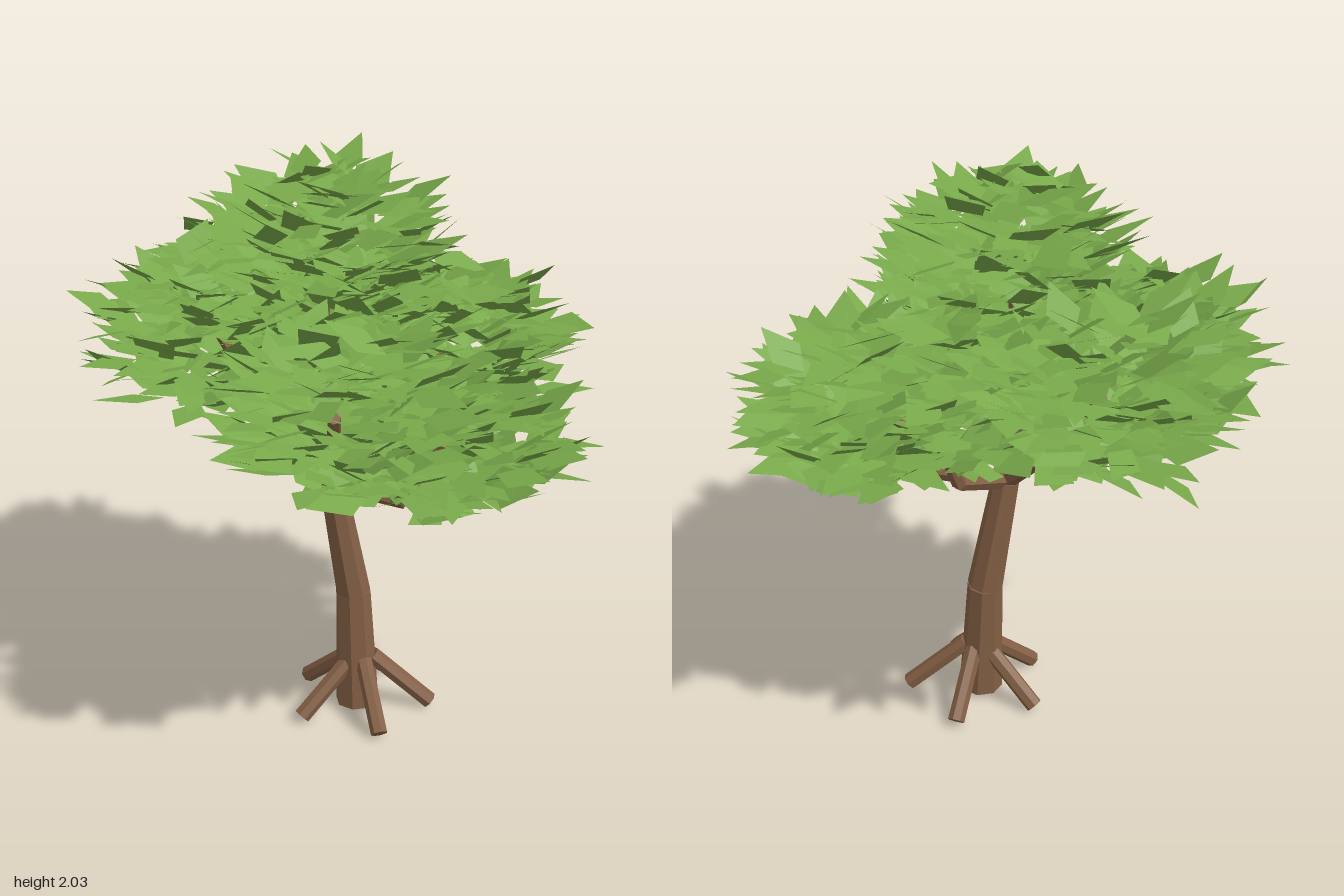
import * as THREE from 'three';

const bark = new THREE.MeshStandardMaterial({ color: 0x835f44, flatShading: true });
const green = new THREE.MeshStandardMaterial({ color: 0x78a84a, flatShading: true, side: THREE.DoubleSide });

// Small seeded generator, so the foliage is always the same
function seeded(seed) {
  let s = seed;
  return () => {
    s = (s * 16807) % 2147483647;
    return s / 2147483647;
  };
}

// Tapered faceted cylinder between two points
function limb(name, a, b, r0, r1, sides) {
  const from = new THREE.Vector3(...a), to = new THREE.Vector3(...b);
  const dir = to.clone().sub(from);
  const mesh = new THREE.Mesh(new THREE.CylinderGeometry(r1, r0, dir.length(), sides), bark);
  mesh.name = name;
  mesh.position.copy(from).add(to).multiplyScalar(0.5);
  mesh.quaternion.setFromUnitVectors(new THREE.Vector3(0, 1, 0), dir.normalize());
  return mesh;
}

// Chain of limbs through a list of points, thinning along the way
function limbChain(name, points, radii, sides) {
  const group = new THREE.Group();
  group.name = name;
  for (let i = 0; i < points.length - 1; i++) {
    group.add(limb(name + 'Segment', points[i], points[i + 1], radii[i], radii[i + 1], sides));
  }
  return group;
}

// One flat pointed leaf: stem, two shoulders and tip
function addLeaf(out, base, heading, lift, roll, length, width) {
  const dir = new THREE.Vector3(
    Math.cos(heading) * Math.cos(lift), Math.sin(lift), Math.sin(heading) * Math.cos(lift));
  const side = new THREE.Vector3(-Math.sin(heading), 0, Math.cos(heading)).applyAxisAngle(dir, roll);
  const at = (l, w) => base.clone().addScaledVector(dir, l * length).addScaledVector(side, w * width);
  const stem = at(0, 0), left = at(0.42, -0.5), right = at(0.42, 0.5), tip = at(1, 0);
  for (const p of [stem, right, left, left, right, tip]) out.push(p.x, p.y, p.z);
}

// Ellipsoid clump of leaves that fan outwards and slightly upwards
function addClump(out, [cx, cy, cz, rx, ry, count], rand) {
  for (let i = 0; i < count; i++) {
    const v = 1 - 2 * (i + 0.5) / count;
    const around = i * 2.39996 + (rand() - 0.5) * 0.5;
    const ring = Math.sqrt(1 - v * v);
    const depth = 0.3 + 0.7 * Math.sqrt(rand());
    const base = new THREE.Vector3(
      cx + Math.cos(around) * ring * rx * depth,
      cy + v * ry * depth,
      cz + Math.sin(around) * ring * rx * depth);
    // Leaves near the poles turn freely and start off centre, which closes the crown
    const heading = around + (rand() - 0.5) * (1 + 4 * (1 - ring));
    const length = 0.16 + rand() * 0.08;
    const back = length * 0.7 * (1 - ring);
    base.x -= Math.cos(heading) * back;
    base.z -= Math.sin(heading) * back;
    addLeaf(out, base, heading, 0.3 + (rand() - 0.5) * 0.7,
      (rand() - 0.5) * 0.9, length, 0.1 + rand() * 0.04);
  }
}

function createFoliage() {
  const rand = seeded(4217);
  const out = [];
  // centre x, y, z, horizontal radius, vertical radius, leaf count
  const clumps = [
    [-0.02, 1.67, -0.04, 0.28, 0.27, 240],
    [0, 1.4, -0.1, 0.3, 0.24, 150],
    [0.02, 1.36, -0.38, 0.26, 0.25, 130],
    [-0.43, 1.37, -0.01, 0.29, 0.26, 240],
    [-0.37, 1.42, -0.42, 0.29, 0.27, 240],
    [0.14, 1.32, 0.43, 0.29, 0.27, 240],
    [0.41, 1.1, 0.06, 0.3, 0.27, 240],
    [0.19, 1.1, 0.12, 0.22, 0.17, 90],
    [0.39, 1.29, -0.36, 0.29, 0.27, 240],
  ];
  for (const clump of clumps) addClump(out, clump, rand);

  const geometry = new THREE.BufferGeometry();
  geometry.setAttribute('position', new THREE.Float32BufferAttribute(out, 3));
  geometry.computeVertexNormals();
  const mesh = new THREE.Mesh(geometry, green);
  mesh.name = 'foliage';
  return mesh;
}

export function createModel() {
  const tree = new THREE.Group();
  tree.name = 'tree';

  // Leaning trunk
  const fork = [0, 0.88, -0.02];
  tree.add(limbChain('trunk', [[0.09, 0.02, -0.03], [0.07, 0.46, -0.04], fork], [0.078, 0.062, 0.047], 8));

  // Five splayed roots
  for (let i = 0; i < 5; i++) {
    const a = -(9 + i * 72) * Math.PI / 180;
    const c = Math.cos(a), s = Math.sin(a);
    tree.add(limb('root', [0.1 + c * 0.04, 0.205, -0.035 + s * 0.04],
      [0.1 + c * 0.25, 0.024, -0.035 + s * 0.235], 0.03, 0.03, 7));
  }

  // Bent branches, one into each clump
  const branches = {
    leftBranch: [[0.26, 0.86, 0.03], [0.32, 1.0, 0.05], [0.4, 1.1, 0.08]],
    backBranch: [[0.12, 0.97, -0.22], [0.16, 1.12, -0.27], [0.32, 1.26, -0.34]],
    rightBranch: [[-0.24, 1.17, 0], [-0.37, 1.4, 0.02]],
    backRightBranch: [[-0.19, 1.1, -0.18], [-0.34, 1.38, -0.36]],
    frontBranch: [[0.06, 1.05, 0.22], [0.1, 1.28, 0.38]],
    topBranch: [[-0.03, 1.07, -0.02], [-0.03, 1.4, -0.02], [-0.02, 1.6, -0.02]],
  };
  for (const [name, points] of Object.entries(branches)) {
    tree.add(limbChain(name, [fork, ...points], [0.034, 0.027, 0.021, 0.013], 6));
  }

  tree.add(createFoliage());
  return tree;
}
